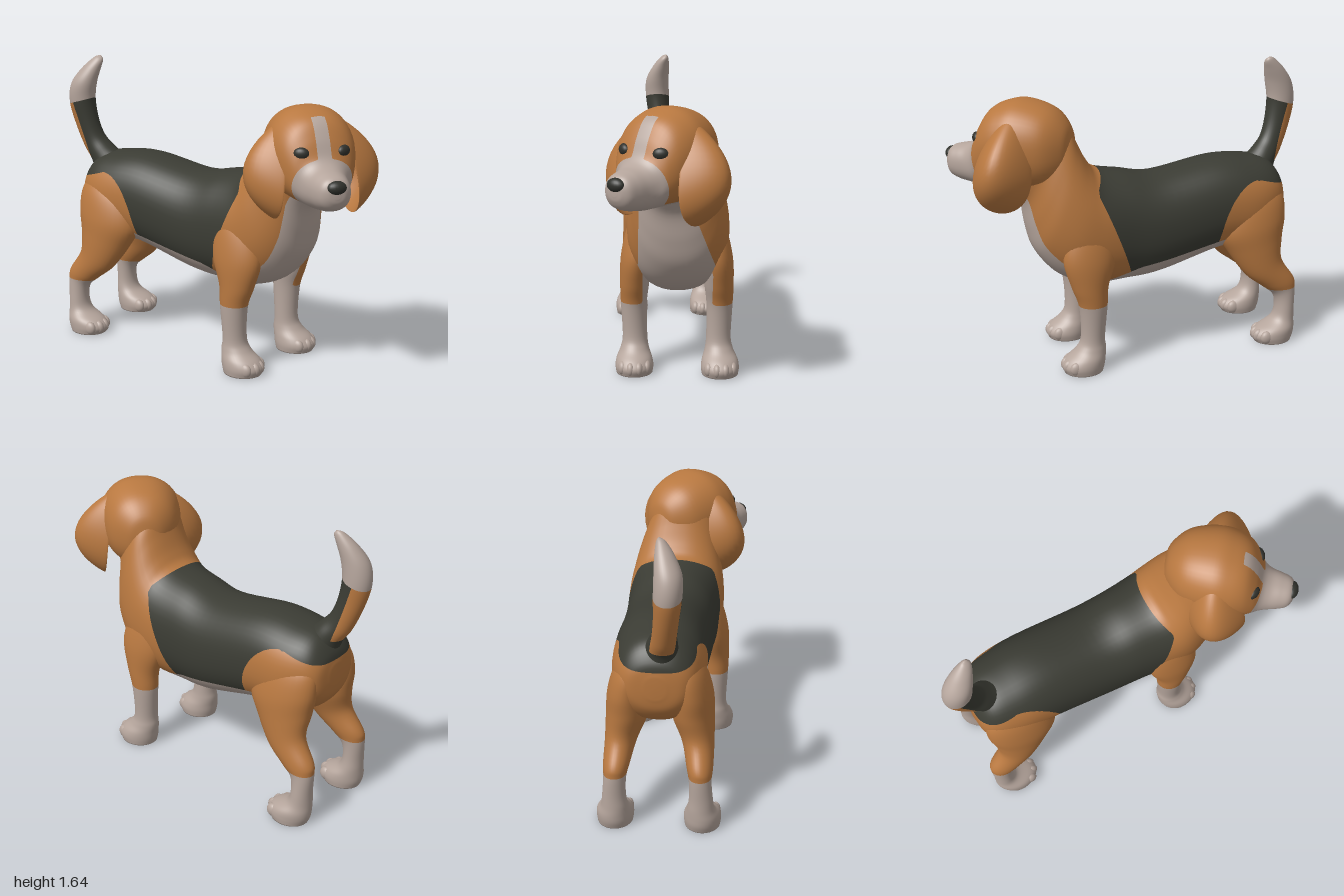
import * as THREE from 'three';

const flat = (name, color) => Object.assign(new THREE.MeshStandardMaterial({ color }), { name });
const tan = flat('tan coat', 0xb87840);
const cream = flat('cream coat', 0xb5a59c);
const black = flat('black saddle', 0x3b3c34);
const dark = flat('dark nose and eyes', 0x30312c);

const { abs, min, max, sin, cos, sign, PI } = Math;

// Closed, capped skin over a list of rings; winding is turned outward by its volume
function skin(rings) {
  const m = rings[0].length, pts = rings.flat(), idx = [];
  rings.slice(1).forEach((_, r) => {
    for (let i = 0; i < m; i++) {
      const a = r * m + i, b = r * m + (i + 1) % m;
      idx.push(a, b, b + m, a, b + m, a + m);
    }
  });
  for (const [r, flip] of [[0, true], [rings.length - 1, false]]) {
    const c = pts.length;
    pts.push(rings[r].reduce((s, p) => s.add(p), new THREE.Vector3()).divideScalar(m));
    for (let i = 0; i < m; i++) {
      const a = r * m + i, b = r * m + (i + 1) % m;
      idx.push(c, ...(flip ? [b, a] : [a, b]));
    }
  }
  let volume = 0;
  const t = new THREE.Vector3();
  for (let i = 0; i < idx.length; i += 3)
    volume += t.crossVectors(pts[idx[i + 1]], pts[idx[i + 2]]).dot(pts[idx[i]]);
  if (volume < 0) idx.reverse();
  const geo = new THREE.BufferGeometry().setFromPoints(pts);
  geo.setIndex(idx);
  geo.computeVertexNormals();
  return geo;
}

// Rows: [z1, y1, z2, y2, half width, centre x]; the two points are opposite rims of a section
function loft(rows, power = 1, steps = 6, sides = 36) {
  const spline = new THREE.CubicInterpolant(
    new Float32Array(rows.map((_, i) => i)), new Float32Array(rows.flat()), 6);
  const rings = [];
  for (let k = 0; k <= (rows.length - 1) * steps; k++) {
    const [z1, y1, z2, y2, w, x] = spline.evaluate(k / steps);
    rings.push(Array.from({ length: sides }, (_, i) => {
      const a = (i / sides) * 2 * PI;
      const c = sign(cos(a)) * abs(cos(a)) ** power, s = sign(sin(a)) * abs(sin(a)) ** power;
      return new THREE.Vector3(x + w * c,
        (y1 + y2) / 2 + (y1 - y2) / 2 * s, (z1 + z2) / 2 + (z1 - z2) / 2 * s);
    }));
  }
  return skin(rings);
}

// Splits triangles along the zero line of a field
function cut(tris, field) {
  const sides = [[], []];
  for (const tri of tris) {
    const f = tri.map(v => field(v[0], v[1], v[2]));
    sides.forEach((out, s) => {
      const g = s ? f.map(v => -v) : f, poly = [];
      for (let i = 0; i < 3; i++) {
        const j = (i + 1) % 3;
        if (g[i] >= 0) poly.push(tri[i]);
        if ((g[i] >= 0) !== (g[j] >= 0)) {
          const k = g[i] / (g[i] - g[j]);
          poly.push(tri[i].map((v, n) => v + (tri[j][n] - v) * k));
        }
      }
      for (let i = 2; i < poly.length; i++) out.push([poly[0], poly[i - 1], poly[i]]);
    });
  }
  return sides;
}

// Adds one mesh per colour; each layer claims the area where its field is positive
function paint(parent, name, geo, layers) {
  const g = geo.toNonIndexed(), p = g.attributes.position.array, n = g.attributes.normal.array;
  let rest = [];
  for (let i = 0; i < p.length; i += 9)
    rest.push([0, 3, 6].map(k => [...p.slice(i + k, i + k + 3), ...n.slice(i + k, i + k + 3)]));
  for (const [mat, field] of layers) {
    let part = rest;
    if (field) [part, rest] = cut(rest, field);
    if (!part.length) continue;
    const out = new THREE.BufferGeometry(), verts = part.flat();
    out.setAttribute('position', new THREE.Float32BufferAttribute(verts.flatMap(v => v.slice(0, 3)), 3));
    out.setAttribute('normal', new THREE.Float32BufferAttribute(verts.flatMap(v => v.slice(3)), 3));
    const mesh = new THREE.Mesh(out, mat);
    mesh.name = `${name} ${mat.name}`;
    parent.add(mesh);
  }
}

function ball(parent, name, mat, pos, scale) {
  const mesh = new THREE.Mesh(new THREE.SphereGeometry(1, 20, 14), mat);
  mesh.name = name;
  mesh.position.set(...pos);
  mesh.scale.set(...scale);
  parent.add(mesh);
  return mesh;
}

// Coat markings
const belly = (x, y, z) => (z > 0.05 ? 0.565 - 0.45 * (z - 0.05) : 0.565 + 0.18 * (0.05 - z)) - y;
const chest = (x, y, z) => min(
  0.205 - 0.2 * (y - 0.65) - abs(x - 0.005 + 0.19 * (y - 0.65)), z - 0.32 - 0.5 * (y - 0.45));
const underside = (x, y, z) => max(min(belly(x, y, z), z + 0.6), chest(x, y, z));
const haunch = (x, y, z) => z > -0.66
  ? 1 - ((z + 0.66) / 0.24) ** 2 - (max(y - 0.65, 0) / 0.34) ** 2
  : (0.99 - 0.3 * (-0.66 - z) - y) / 0.34;
const saddle = (x, y, z) => min(0.14 + 0.4 * (y - 0.62) - z, 0.3 - 0.8 * (y - 1.03) - z);

export function createModel() {
  const dog = new THREE.Group();
  dog.name = 'dog';

  // Torso and neck
  paint(dog, 'torso', loft([
    [-0.87, 0.90, -0.87, 0.78, 0.05, 0.02], [-0.85, 0.98, -0.85, 0.70, 0.15, 0.02],
    [-0.78, 1.06, -0.78, 0.62, 0.21, 0.02], [-0.65, 1.09, -0.65, 0.57, 0.245, 0.025],
    [-0.45, 1.10, -0.45, 0.56, 0.25, 0.03], [-0.10, 1.05, -0.10, 0.47, 0.255, 0.035],
    [0.10, 1.08, 0.10, 0.45, 0.26, 0.03], [0.25, 1.11, 0.30, 0.45, 0.275, 0.025],
    [0.31, 1.17, 0.48, 0.52, 0.275, 0.02], [0.36, 1.27, 0.60, 0.66, 0.25, 0.015],
    [0.40, 1.37, 0.64, 0.80, 0.225, 0], [0.45, 1.44, 0.66, 0.95, 0.20, -0.02],
    [0.52, 1.48, 0.72, 1.05, 0.17, -0.03], [0.60, 1.40, 0.72, 1.15, 0.08, -0.03],
  ], 0.9, 6, 48), [[cream, underside], [tan, haunch], [black, saddle], [tan]]);

  // Tail
  paint(dog, 'tail', loft([
    [-0.68, 1.06, -0.84, 0.93, 0.09, 0], [-0.74, 1.11, -0.86, 1.01, 0.08, -0.01],
    [-0.79, 1.17, -0.91, 1.09, 0.065, -0.025], [-0.82, 1.26, -0.965, 1.23, 0.065, -0.04],
    [-0.835, 1.38, -0.995, 1.36, 0.072, -0.05], [-0.82, 1.48, -0.98, 1.47, 0.07, -0.05],
    [-0.80, 1.56, -0.92, 1.56, 0.05, -0.03], [-0.79, 1.61, -0.85, 1.625, 0.025, -0.01],
    [-0.805, 1.635, -0.82, 1.638, 0.004, 0],
  ]), [
    [cream, (x, y, z) => y - 1.39 - 0.3 * (z + 0.835)],
    [tan, (x, y, z) => min(-0.83 - 0.28 * (y - 1) - z, y - 1.03)],
    [black],
  ]);

  // Legs, from paw to hip
  const foreLeg = [
    [0.51, 0, 0.29, 0, 0.10, 0.235], [0.525, 0.04, 0.28, 0.04, 0.105, 0.235],
    [0.50, 0.08, 0.275, 0.08, 0.098, 0.235], [0.44, 0.13, 0.27, 0.13, 0.078, 0.232],
    [0.41, 0.20, 0.275, 0.20, 0.068, 0.23], [0.42, 0.38, 0.26, 0.38, 0.072, 0.235],
    [0.46, 0.50, 0.25, 0.50, 0.08, 0.23], [0.50, 0.65, 0.20, 0.65, 0.085, 0.22],
    [0.47, 0.80, 0.20, 0.80, 0.07, 0.20], [0.42, 0.92, 0.25, 0.92, 0.04, 0.17],
  ];
  const hindLeg = [
    [-0.66, 0, -0.88, 0, 0.095, 0.235], [-0.64, 0.04, -0.895, 0.04, 0.10, 0.235],
    [-0.67, 0.08, -0.90, 0.08, 0.095, 0.235], [-0.76, 0.13, -0.90, 0.13, 0.073, 0.23],
    [-0.785, 0.20, -0.90, 0.20, 0.063, 0.23], [-0.77, 0.28, -0.905, 0.32, 0.06, 0.225],
    [-0.70, 0.34, -0.895, 0.38, 0.07, 0.22], [-0.60, 0.42, -0.82, 0.50, 0.085, 0.205],
    [-0.50, 0.56, -0.83, 0.63, 0.112, 0.175], [-0.44, 0.68, -0.85, 0.76, 0.115, 0.165],
    [-0.47, 0.82, -0.84, 0.88, 0.10, 0.145], [-0.55, 0.94, -0.78, 0.97, 0.06, 0.12],
  ];
  const foreCoat = [[cream, (x, y) => max(0.39 - y, min(0.19 - abs(x - 0.015), 0.6 - y))], [tan]];
  const hindCoat = [[cream, (x, y) => 0.32 - y], [tan, haunch], [black]];
  for (const [side, label] of [[1, 'left'], [-1, 'right']]) {
    for (const [name, rows, coat, dz] of [
      ['front leg', foreLeg, foreCoat, side < 0 ? -0.05 : 0], ['hind leg', hindLeg, hindCoat, 0]]) {
      const leg = new THREE.Group();
      leg.name = `${label} ${name}`;
      paint(leg, leg.name, loft(rows.map(([z1, y1, z2, y2, w, x]) =>
        [z1 + dz, y1, z2 + dz, y2, w, 0.015 + side * x])), coat);
      for (const dx of [-0.066, -0.023, 0.023, 0.066])
        ball(leg, 'toe', cream,
          [0.015 + side * 0.235 + dx, 0.042, rows[1][0] + dz - 0.035 - 7 * dx * dx], [0.026, 0.04, 0.04]);
      dog.add(leg);
    }
  }

  // Head, turned toward its right
  const head = new THREE.Group();
  head.name = 'head';
  head.position.set(-0.03, 0, 0.62);
  head.rotation.y = -0.68;
  dog.add(head);
  paint(head, 'skull and muzzle', loft([
    [-0.27, 1.29, -0.27, 1.21, 0.03, 0], [-0.24, 1.39, -0.24, 1.12, 0.11, 0],
    [-0.15, 1.475, -0.15, 1.05, 0.195, 0], [0, 1.515, 0, 1.02, 0.235, 0],
    [0.10, 1.50, 0.10, 1.02, 0.23, 0], [0.18, 1.46, 0.18, 1.02, 0.205, 0],
    [0.235, 1.38, 0.24, 1.02, 0.17, 0], [0.275, 1.29, 0.28, 1.02, 0.135, 0],
    [0.32, 1.25, 0.32, 1.025, 0.115, 0], [0.38, 1.235, 0.38, 1.035, 0.10, 0],
    [0.43, 1.22, 0.43, 1.055, 0.082, 0], [0.455, 1.19, 0.455, 1.09, 0.05, 0],
    [0.462, 1.16, 0.462, 1.12, 0.015, 0],
  ], 0.9, 6, 48), [
    [cream, (x, y, z) => max(z - 0.2 - 0.3 * (y - 1.02),
      min(0.038 - abs(x), z - 0.15, y - 1.1), min(1.05 - y, z - 0.05))],
    [tan],
  ]);
  ball(head, 'nose', dark, [0, 1.175, 0.445], [0.052, 0.036, 0.035]);

  for (const side of [1, -1]) {
    const eye = ball(head, 'eye', dark, [side * 0.115, 1.31, 0.235], [0.042, 0.032, 0.026]);
    eye.rotation.y = side * 0.5;

    // Drooping ear, bowed outward and tied to the skull at its edges
    const rings = [];
    for (let k = 0; k <= 24; k++) {
      const t = -cos(0.06 + (k / 24) * (PI - 0.12)), r = Math.sqrt(1 - t * t);
      const reach = 0.365 - 0.17 * (t + 0.1) ** 2, width = 0.16 * (1 - 0.35 * t);
      rings.push(Array.from({ length: 40 }, (_, i) => {
        const a = (i / 40) * 2 * PI, s = r * cos(a);
        return new THREE.Vector3(
          side * (side < 0 ? 0.93 : 1) * (reach - 0.16 * s * s + 0.025 * r * sin(a)),
          1.188 + 0.255 * t, 0.045 - 0.025 * t + width * s);
      }));
    }
    const ear = new THREE.Mesh(skin(rings), tan);
    ear.name = side > 0 ? 'left ear' : 'right ear';
    head.add(ear);
  }
  return dog;
}
